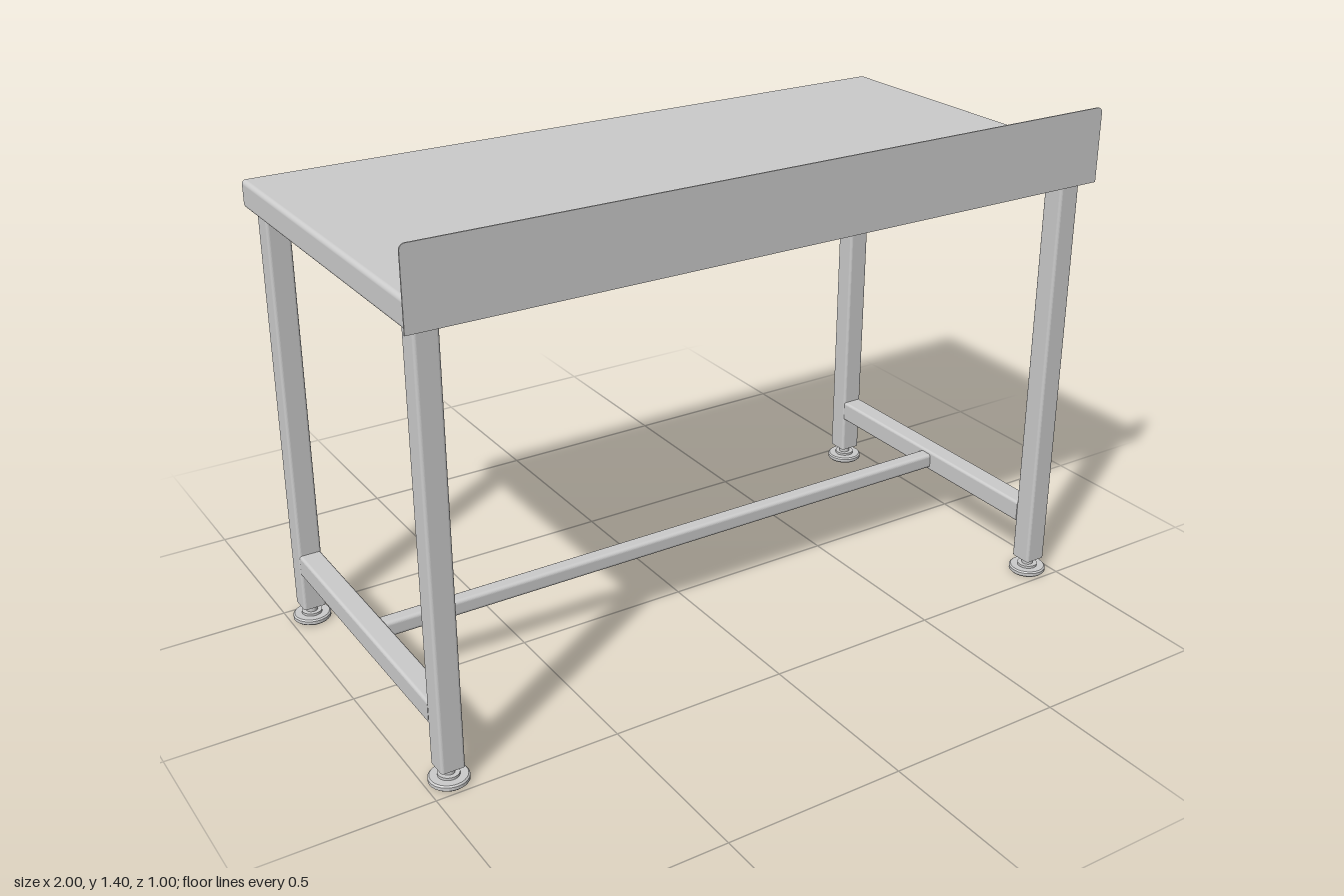
import * as THREE from 'three';
import { RoundedBoxGeometry } from 'three/addons/geometries/RoundedBoxGeometry.js';

const steel = new THREE.MeshStandardMaterial({ color: 0xcccccc });

function add(parent, name, geometry, x = 0, y = 0, z = 0) {
  const mesh = new THREE.Mesh(geometry, steel);
  mesh.name = name;
  mesh.position.set(x, y, z);
  parent.add(mesh);
  return mesh;
}

// Rectangle outline with separate radii for the bottom and top corners
function roundedRect(w, h, bottom, top) {
  const s = new THREE.Shape(), x = w / 2, y = h / 2;
  s.moveTo(-x + bottom, -y).lineTo(x - bottom, -y);
  if (bottom) s.absarc(x - bottom, -y + bottom, bottom, -Math.PI / 2, 0);
  s.lineTo(x, y - top).absarc(x - top, y - top, top, 0, Math.PI / 2);
  s.lineTo(-x + top, y).absarc(-x + top, y - top, top, Math.PI / 2, Math.PI);
  s.lineTo(-x, -y + bottom);
  if (bottom) s.absarc(-x + bottom, -y + bottom, bottom, Math.PI, Math.PI * 1.5);
  return s;
}

// Square tube with softened edges, centred, running along z
function tube(size, length, radius) {
  return new THREE.ExtrudeGeometry(roundedRect(size, size, radius, radius),
    { depth: length, bevelEnabled: false, curveSegments: 4 }).translate(0, 0, -length / 2);
}

export function createModel() {
  const table = new THREE.Group();
  table.name = 'workTable';

  // Worktop with soft edges, and the upstand along its long +z side
  add(table, 'worktop', new RoundedBoxGeometry(1.99, 0.075, 0.996, 4, 0.012), 0, 1.2375, -0.002);
  const panel = new THREE.ExtrudeGeometry(roundedRect(2, 0.205, 0, 0.015),
    { depth: 0.004, bevelEnabled: false, curveSegments: 6 });
  add(table, 'splashPanel', panel, 0, 1.2975, 0.496);

  // Legs and adjustable feet
  const legGeometry = tube(0.064, 1.157, 0.008).rotateX(Math.PI / 2);
  const footProfile = [[0, 0], [0.048, 0], [0.052, 0.004], [0.052, 0.013], [0.048, 0.017],
    [0.028, 0.017], [0.028, 0.024], [0.016, 0.024], [0.016, 0.047], [0, 0.047]];
  // Each segment gets its own vertices so the turned edges stay sharp
  const footGeometry = new THREE.LatheGeometry(
    footProfile.map(([r, y]) => new THREE.Vector2(r, y)), 28).toNonIndexed();
  footGeometry.computeVertexNormals();
  for (const x of [-0.938, 0.938]) {
    for (const z of [-0.441, 0.441]) {
      add(table, 'leg', legGeometry, x, 0.6235, z);
      add(table, 'foot', footGeometry, x, 0, z);
    }
    // Rail joining the two legs at each end
    add(table, 'endRail', tube(0.062, 0.822, 0.008), x, 0.185, 0);
  }

  // Long stretcher between the end rails
  add(table, 'stretcher', tube(0.045, 1.82, 0.01).rotateY(Math.PI / 2), 0, 0.185, 0);
  return table;
}
